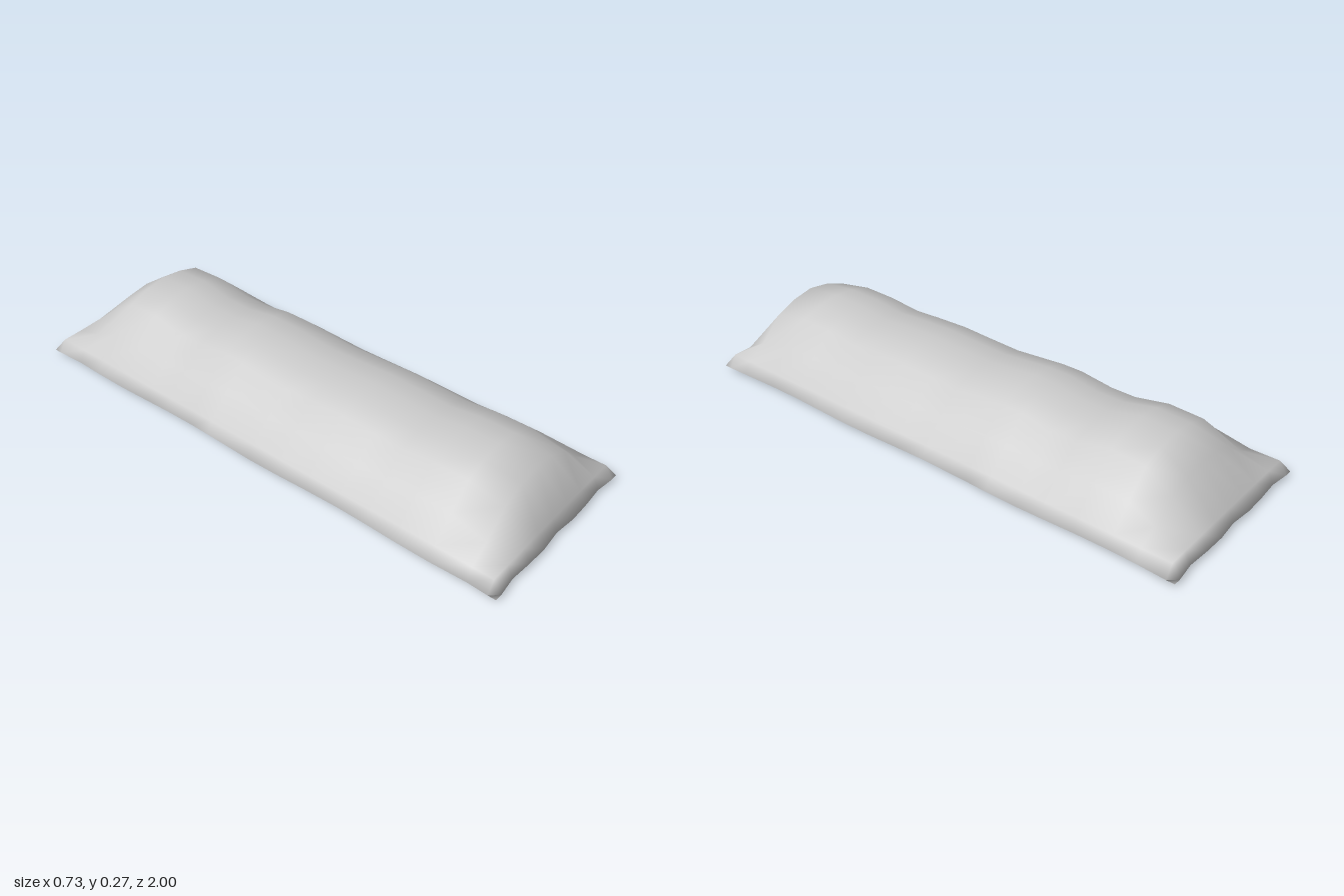
import * as THREE from 'three';
import { mergeVertices } from 'three/addons/utils/BufferGeometryUtils.js';

// Half cross-section [x, y], from the bottom edge over the rim up to the ridge
const half = [[0.335, 0], [0.365, 0.017], [0.337, 0.063], [0.26, 0.145], [0.17, 0.228], [0.087, 0.254], [0, 0.265]];
const cross = [...half.map(([x, y]) => [-x, y]), ...half.slice(0, -1).reverse()];

// Ridge line [z, height], from back to front
const ridge = [
  [-0.97, 0], [-1, 0.017], [-0.97, 0.065], [-0.86, 0.195], [-0.76, 0.264], [-0.63, 0.27],
  [-0.5, 0.239], [-0.4, 0.239], [-0.28, 0.26], [-0.2, 0.26], [0, 0.239], [0.12, 0.244], [0.25, 0.251],
  [0.38, 0.245], [0.5, 0.236], [0.62, 0.253], [0.75, 0.255], [0.89, 0.24], [0.97, 0.065], [1, 0.017], [0.97, 0],
];

const clamp = THREE.MathUtils.clamp;

function moundPoint(i, j) {
  const [z, top] = ridge[i];
  const [x, side] = cross[j];
  const edge = Math.min(i, j, ridge.length - 1 - i, cross.length - 1 - j);
  // flat bottom edge
  if (edge === 0) return [clamp(x, -0.335, 0.335), 0, clamp(z, -0.97, 0.97)];
  // slightly wavy rim
  if (edge === 1) {
    return [x * (1 - 0.012 * (1 + Math.sin(z * 9 + x * 5)) * (Math.abs(z) < 0.95)), 0.017,
      z * (1 - 0.005 * (1 + Math.cos(x * 26)) * (Math.abs(x) < 0.3))];
  }
  // heaped top, rounder towards both ends
  const power = Math.abs(z) > 0.8 ? 1.5 : 1;
  const t = Math.max(0, (side - 0.063) / 0.202) ** power;
  return [x, 0.063 + t * (top - 0.063), z];
}

function createMoundGeometry() {
  const rows = ridge.length, cols = cross.length;
  const positions = [], index = [];
  // upper surface and rim
  for (let i = 0; i < rows; i++) for (let j = 0; j < cols; j++) positions.push(...moundPoint(i, j));
  // underside
  const base = rows * cols;
  for (let i = 0; i < rows; i++) {
    for (let j = 0; j < cols; j++) {
      positions.push(clamp(cross[j][0], -0.335, 0.335), 0, clamp(ridge[i][0], -0.97, 0.97));
    }
  }
  for (let i = 0; i < rows - 1; i++) {
    for (let j = 0; j < cols - 1; j++) {
      const a = i * cols + j, b = a + cols;
      index.push(a, b, b + 1, a, b + 1, a + 1);
      if (i > 1 && i < rows - 3 && j > 1 && j < cols - 3) {
        const c = a + base, d = b + base;
        index.push(c, d + 1, d, c, c + 1, d + 1);
      }
    }
  }
  const geometry = new THREE.BufferGeometry();
  geometry.setAttribute('position', new THREE.Float32BufferAttribute(positions, 3));
  geometry.setIndex(index);
  const merged = mergeVertices(geometry, 1e-4);
  merged.computeVertexNormals();
  return merged;
}

export function createModel() {
  const group = new THREE.Group();
  group.name = 'mound';
  const mound = new THREE.Mesh(createMoundGeometry(), new THREE.MeshStandardMaterial({ color: 0xcccccc }));
  mound.name = 'heapedEarth';
  group.add(mound);
  return group;
}
